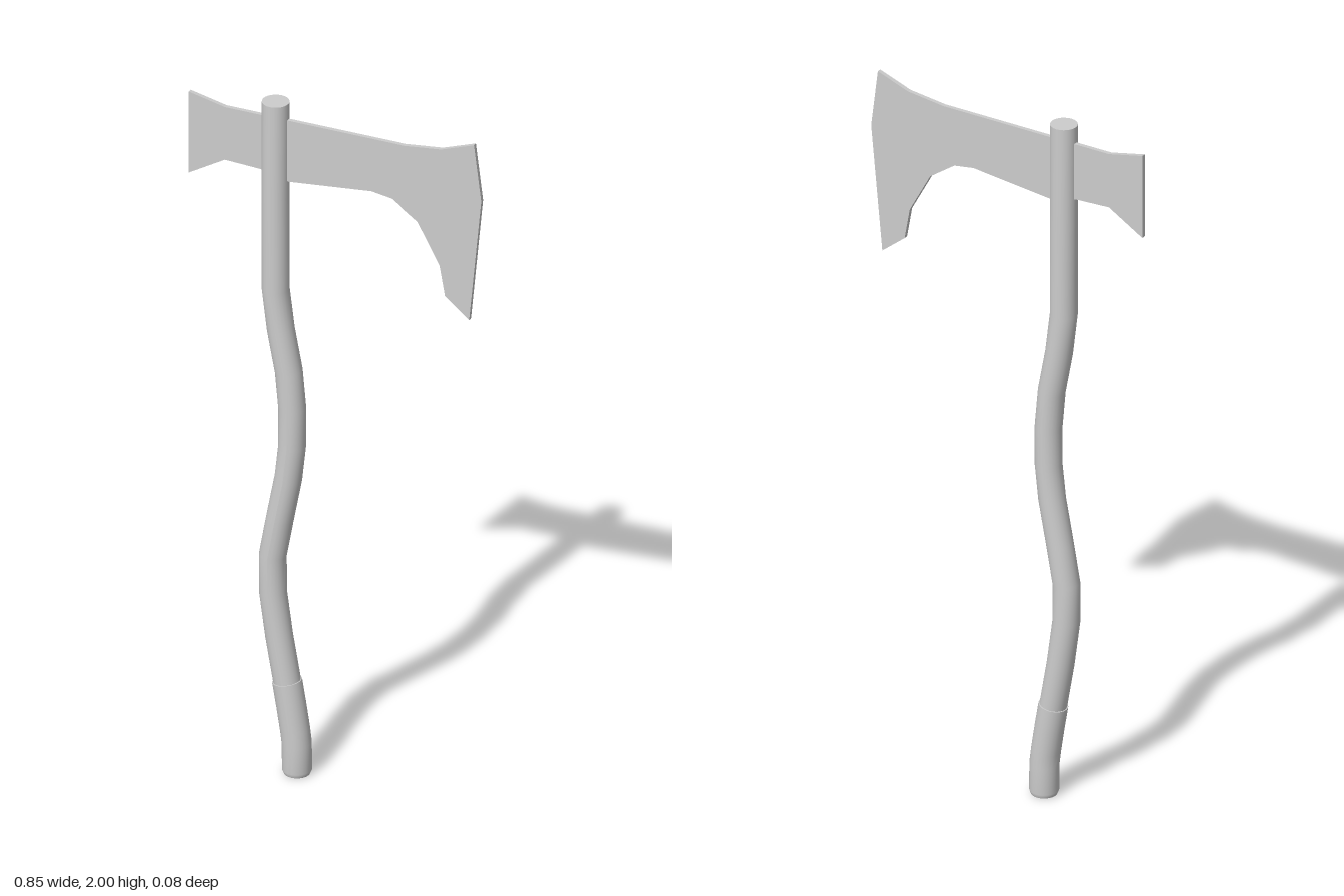
import * as THREE from 'three';

// Bends a unit cylinder along rows of [x, y, radius], listed from top to bottom
function bentRod(rows, sides) {
  const n = rows.length - 1;
  const geo = new THREE.CylinderGeometry(1, 1, 1, sides, n);
  const pos = geo.attributes.position;
  for (let i = 0; i < pos.count; i++) {
    const k = Math.round((0.5 - pos.getY(i)) * n);
    const [x, y, r] = rows[k];
    const a = rows[Math.max(k - 1, 0)], b = rows[Math.min(k + 1, n)];
    const dir = new THREE.Vector2(a[0] - b[0], a[1] - b[1]).normalize();
    const u = pos.getX(i) * r;
    pos.setXYZ(i, x + u * dir.y, y - u * dir.x, pos.getZ(i) * r);
  }
  geo.computeVertexNormals();
  return geo;
}

export function createModel() {
  const group = new THREE.Group();
  const steel = new THREE.MeshStandardMaterial({ name: 'plain grey', color: 0xcccccc });
  const add = (name, geo) => {
    const mesh = new THREE.Mesh(geo, steel);
    mesh.name = name;
    group.add(mesh);
  };

  // Curved wooden haft
  const haft = [
    [-0.18, 2], [-0.18, 1.72], [-0.18, 1.44], [-0.165, 1.32], [-0.142, 1.2],
    [-0.132, 1.09], [-0.132, 0.98], [-0.143, 0.88], [-0.168, 0.75],
    [-0.188, 0.64], [-0.188, 0.53], [-0.17, 0.4], [-0.147, 0.27], [-0.142, 0.24],
  ];
  add('haft', bentRod(haft.map(([x, y]) => [x, y, 0.037]), 24));

  // Slightly thicker grip with a bevelled foot
  add('grip', bentRod([
    [-0.147, 0.27, 0.04], [-0.135, 0.2, 0.04], [-0.124, 0.13, 0.04],
    [-0.119, 0.09, 0.04], [-0.118, 0.012, 0.04], [-0.118, 0, 0.035],
  ], 24));

  // Flat axe head: bearded blade on one side, flared poll on the other
  const outline = [
    [-0.43, 1.976], [-0.325, 1.953], [0.195, 1.953], [0.305, 1.966], [0.4, 2],
    [0.421, 1.835], [0.386, 1.472], [0.316, 1.528], [0.3, 1.617], [0.236, 1.733],
    [0.16, 1.786], [0.1, 1.795], [-0.14, 1.77], [-0.22, 1.79], [-0.325, 1.795],
    [-0.43, 1.733],
  ];
  const shape = new THREE.Shape(outline.map(([x, y]) => new THREE.Vector2(x, y)));
  const head = new THREE.ExtrudeGeometry(shape, { depth: 0.012, bevelEnabled: false });
  head.translate(0, 0, -0.006);
  add('axeHead', head);

  return group;
}
